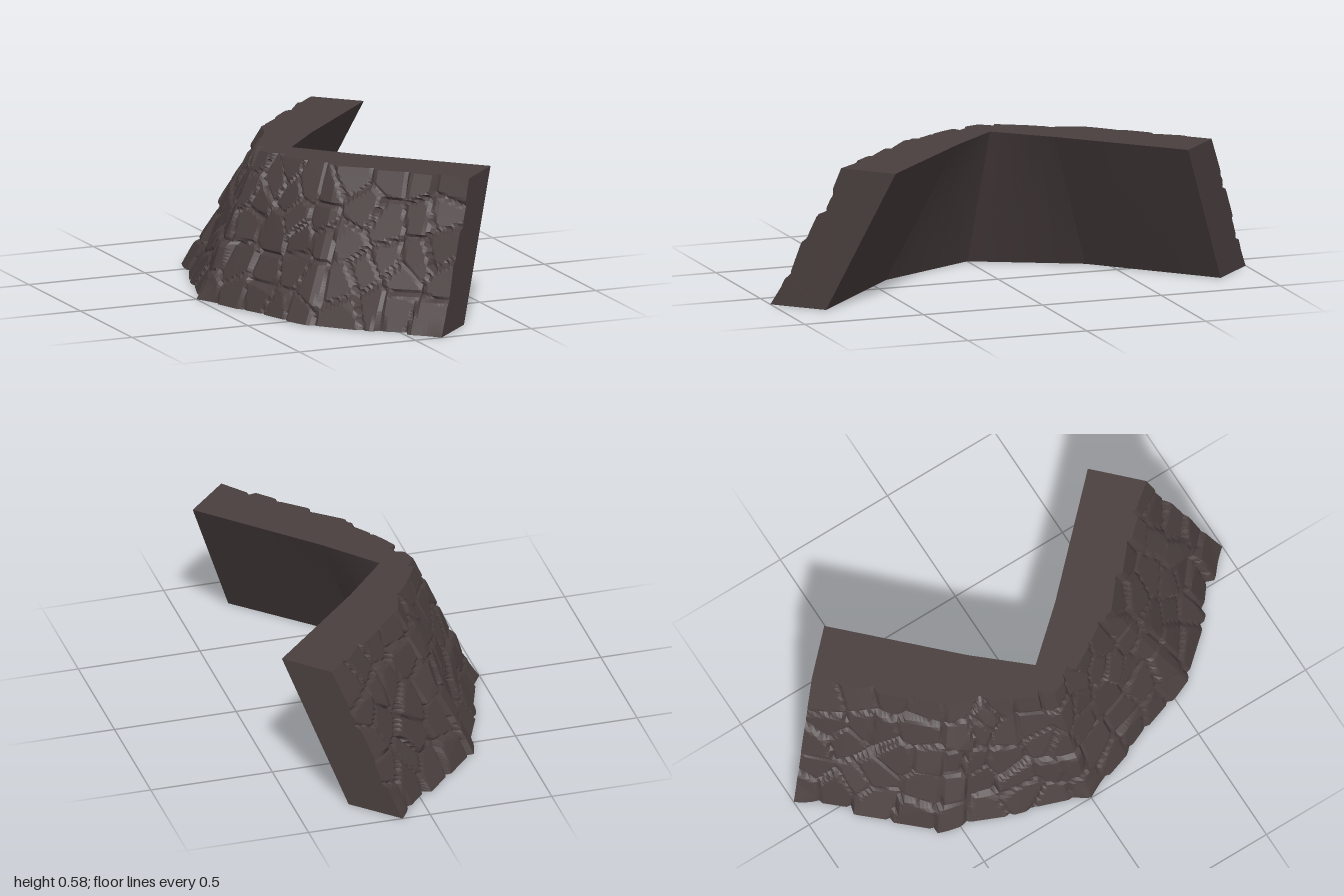
import * as THREE from 'three';

const HEIGHT = 0.577;
const COLS = 144, ROWS = 48;

// Half-plan stations (centre, bend, end) as [x, z] for each long edge of the wall
const EDGES = {
  outerBottom: [[-0.5, 0], [-0.3, 0.59], [0.113, 1]],
  outerTop: [[-0.245, 0], [-0.06, 0.38], [0.32, 0.79]],
  innerTop: [[-0.09, 0], [0.09, 0.205], [0.495, 0.615]],
  innerBottom: [[-0.345, 0], [-0.14, 0.42], [0.285, 0.83]],
  outward: [[-1, 0], [-0.85, 0.5], [-0.71, 0.71]],
};

// Point on a mirrored plan edge, u from -1 (back end) to 1 (front end)
function along(edge, u) {
  const t = Math.abs(u) * 2, i = Math.min(1, Math.floor(t));
  const [a, b] = [edge[i], edge[i + 1]];
  const x = THREE.MathUtils.lerp(a[0], b[0], t - i);
  const z = THREE.MathUtils.lerp(a[1], b[1], t - i);
  return [x, u < 0 ? -z : z];
}

function seeded(seed) {
  let s = seed;
  return () => {
    s = (s * 16807) % 2147483647;
    return s / 2147483647;
  };
}

// Irregular stones scattered over the outer face, each a tilted plane
function makeStones() {
  const rand = seeded(4217), stones = [];
  for (let i = 0; i < 17; i++) {
    for (let j = 0; j < 5; j++) {
      stones.push({
        s: -1.2 + (i + 0.1 + 0.8 * rand()) * 2.4 / 17,
        t: (j + 0.1 + 0.8 * rand()) * 0.64 / 5,
        h: -0.022 * rand(),
        ds: (rand() - 0.5) * 0.26,
        dt: (rand() - 0.5) * 0.26,
      });
    }
  }
  return stones;
}

// Relief depth: plane of the nearest stone, cut by a crack near its border
function relief(stones, u, v) {
  const s = u * 1.2, t = v * 0.64;
  let best = null, d1 = 9, d2 = 9;
  for (const c of stones) {
    const d = Math.hypot(c.s - s, c.t - t);
    if (d < d1) {
      d2 = d1;
      d1 = d;
      best = c;
    } else if (d < d2) d2 = d;
  }
  let h = best.h + (s - best.s) * best.ds + (t - best.t) * best.dt;
  h -= 0.012 * Math.max(0, 1 - (d2 - d1) / 0.022);
  // keep the foot corners crisp
  const corner = Math.min(Math.abs(u), 1 - Math.abs(u));
  const pin = Math.min(1, Math.hypot(corner * 1.2, t) / 0.08);
  return Math.min(0.002, h) * pin;
}

// One cross-section loop: inner foot, rocky outer face upward, inner top
function crossSection(u, stones) {
  const [ibx, ibz] = along(EDGES.innerBottom, u);
  const [itx, itz] = along(EDGES.innerTop, u);
  const [bx, bz] = along(EDGES.outerBottom, u);
  const [tx, tz] = along(EDGES.outerTop, u);
  const [nx, nz] = along(EDGES.outward, u);
  const ring = [[ibx, 0, ibz]];
  for (let r = 0; r <= ROWS; r++) {
    const v = r / ROWS, h = relief(stones, u, v);
    ring.push([
      THREE.MathUtils.lerp(bx, tx, v) + nx * h,
      v * HEIGHT,
      THREE.MathUtils.lerp(bz, tz, v) + nz * h,
    ]);
  }
  ring.push([itx, HEIGHT, itz]);
  return ring;
}

function wallGeometry() {
  const stones = makeStones(), positions = [], index = [];
  const n = ROWS + 3;
  for (let c = 0; c <= COLS; c++) {
    for (const p of crossSection(c / COLS * 2 - 1, stones)) positions.push(...p);
  }
  for (let c = 0; c < COLS; c++) {
    for (let r = 0; r < n; r++) {
      const a = c * n + r, b = c * n + (r + 1) % n;
      index.push(a, a + n, b, b, a + n, b + n);
    }
  }
  // flat end faces
  const last = COLS * n;
  for (let r = 1; r < n - 1; r++) {
    index.push(0, r, r + 1);
    index.push(last, last + r + 1, last + r);
  }
  const geometry = new THREE.BufferGeometry();
  geometry.setAttribute('position', new THREE.Float32BufferAttribute(positions, 3));
  geometry.setIndex(index);
  const flat = geometry.toNonIndexed();
  flat.computeVertexNormals();
  return flat;
}

export function createModel() {
  const group = new THREE.Group();
  group.name = 'cliffCorner';
  const material = new THREE.MeshStandardMaterial({ color: 0x4a3f3f, flatShading: true });
  const wall = new THREE.Mesh(wallGeometry(), material);
  wall.name = 'rockWall';
  group.add(wall);
  return group;
}
